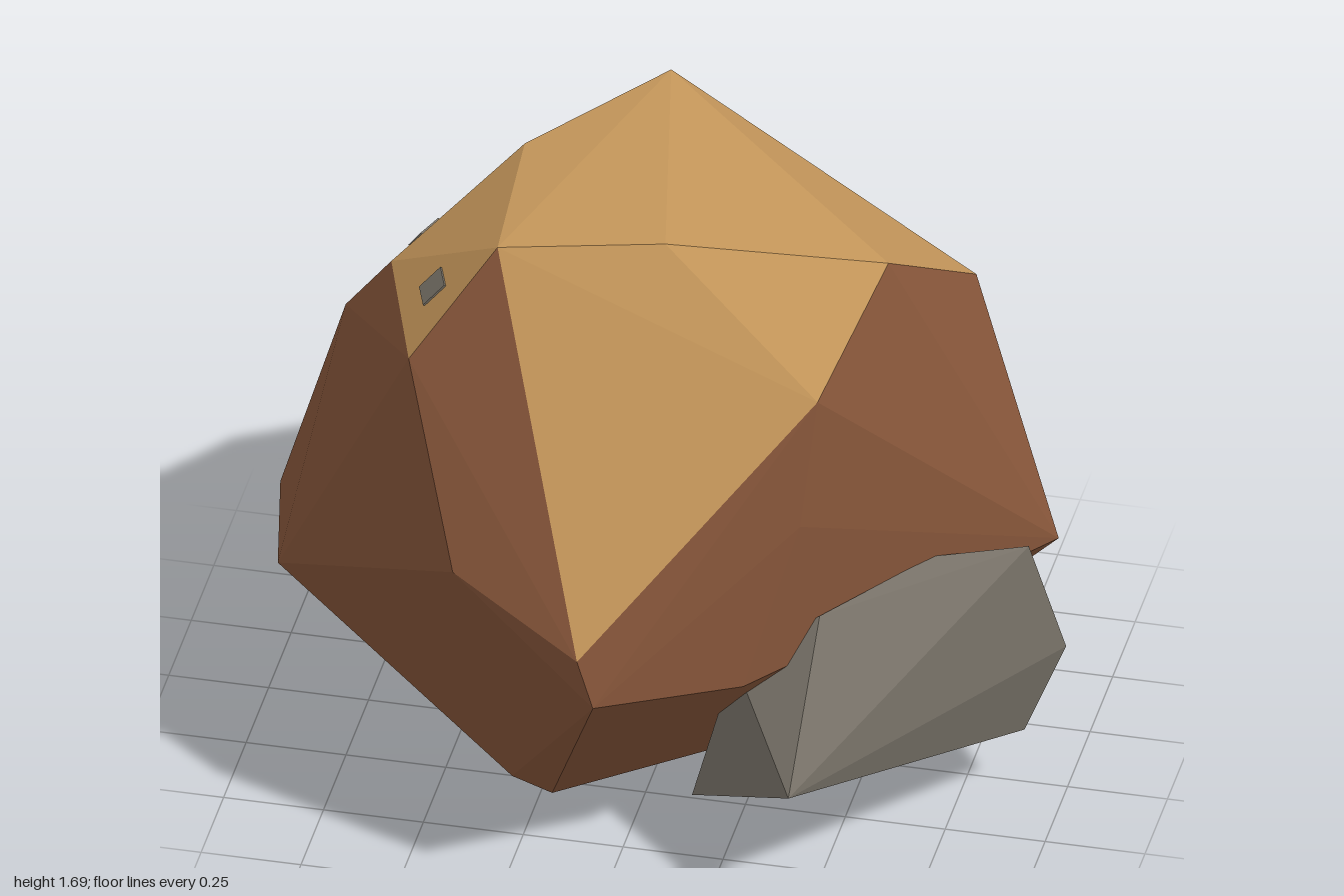
import * as THREE from 'three';
import { ConvexGeometry } from 'three/addons/geometries/ConvexGeometry.js';

const sand = new THREE.MeshStandardMaterial({ name: 'sand', color: 0xc4965a });
const earth = new THREE.MeshStandardMaterial({ name: 'earthBrown', color: 0x87563a });
const stone = new THREE.MeshStandardMaterial({ name: 'stoneGrey', color: 0x7a746a });

// Faceted rock: the convex hull of a few corner points
const hull = (corners) => new ConvexGeometry(corners.map((c) => new THREE.Vector3(...c)));

export function createModel() {
  const model = new THREE.Group();
  model.name = 'boulder';

  // Large boulder
  const boulderGeometry = hull([
    // crown
    [-0.08, 1.69, -0.39], [0.59, 1.58, 0.17], [0.07, 1.67, 0.34], [-0.33, 1.66, 0.43],
    [-0.53, 1.37, 0.53], [-0.65, 1.42, 0.19], [-0.78, 1.23, 0.12], [-0.37, 1.65, -0.05],
    [0.72, 1.31, -0.23], [0.48, 1.35, 0.47], [-0.10, 1.09, -0.88],
    // middle
    [-1.0, 0.52, -0.13], [-0.95, 0.45, 0.12], [-0.37, 0.91, 0.75], [-0.03, 0.78, 0.88],
    [0.01, 0.65, 0.88], [0.33, 0.60, 0.63], [0.45, 1.02, 0.53], [0.98, 0.73, 0.01],
    [0.31, 0.82, -0.63], [0.25, 0.48, -0.68], [0.68, 0.38, -0.41],
    // foot
    [0.28, 0.06, 0], [-0.35, 0, 0.08], [-0.2, 0.065, 0.4], [-0.3, 0.1, 0.4], [-0.10, 0.09, -0.51],
  ]);
  // Faces turned upward are sandy, the rest brown
  const normal = boulderGeometry.attributes.normal;
  for (let i = 0; i < normal.count; i += 3) {
    boulderGeometry.addGroup(i, 3, normal.getY(i) > 0.45 ? 0 : 1);
  }
  const boulder = new THREE.Mesh(boulderGeometry, [sand, earth]);
  boulder.name = 'largeBoulder';
  model.add(boulder);

  // Small stone leaning on the front left
  const smallStone = new THREE.Mesh(hull([
    [0.47, 0.37, 0.75], [0.49, 0.74, 0.49], [0.72, 0.80, 0.26], [0.93, 0.77, 0.12],
    [1.0, 0.42, 0.015], [0.90, 0.175, 0.035], [0.15, 0.11, 0.4], [0.28, 0.58, 0.5],
    [0.60, 0.20, -0.215], [0.62, 0.34, -0.21], [0.76, 0.54, -0.1],
  ]), stone);
  smallStone.name = 'smallStone';
  model.add(smallStone);

  // Thin stone flakes lying on the boulder's faces
  const diamond = new THREE.Shape([[-0.045, -0.035], [0.025, -0.045], [0.045, 0.035], [-0.025, 0.045]]
    .map(([x, y]) => new THREE.Vector2(x, y)));
  const flakeGeometry = new THREE.ExtrudeGeometry(diamond, { depth: 0.005, bevelEnabled: false });
  const centre = new THREE.Vector3(0, 0.8, 0);
  [[-0.505, 1.49, 0.38], [-0.605, 1.45, 0.075], [0.82, 0.805, -0.21], [0.45, 0.24, -0.37]].forEach((p) => {
    const outward = new THREE.Vector3(...p).sub(centre).normalize();
    const start = centre.clone().addScaledVector(outward, 3);
    const hit = new THREE.Raycaster(start, outward.negate()).intersectObject(boulder)[0];
    if (!hit) return;
    const flake = new THREE.Mesh(flakeGeometry, stone);
    flake.name = 'stoneFlake';
    flake.position.copy(hit.point);
    flake.lookAt(hit.point.clone().add(hit.face.normal));
    model.add(flake);
  });

  return model;
}
